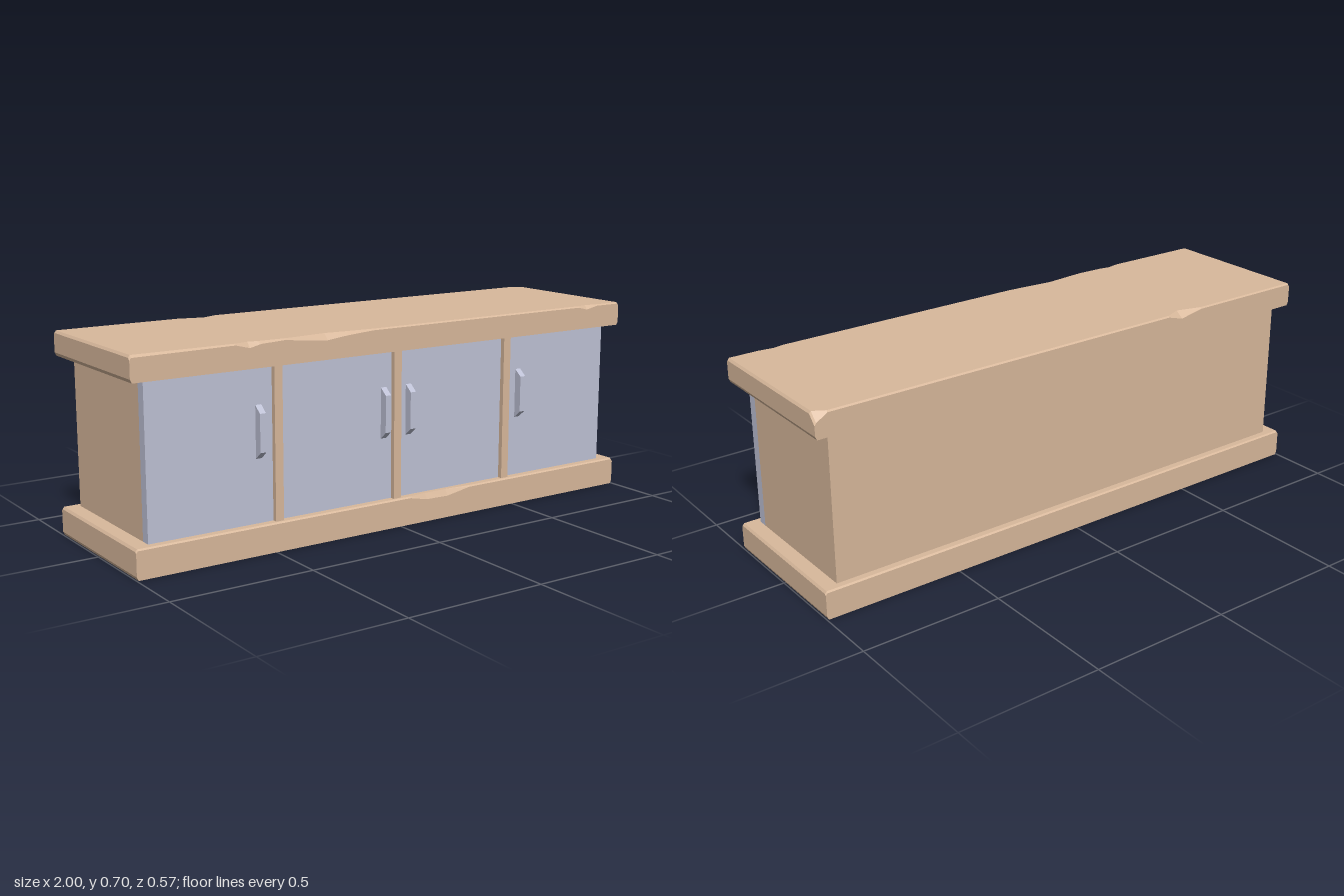
import * as THREE from 'three';

const wood = new THREE.MeshStandardMaterial({ color: 0xd9b99c });
wood.name = 'tan wood';
const paint = new THREE.MeshStandardMaterial({ color: 0xbfc2d6 });
paint.name = 'grey blue paint';

const HALF_DEPTH = 0.284;

// Slab lofted along x; each chip [x, front drop, front inset, back drop, back inset] widens the worn upper edge
function slabGeometry(y0, y1, chips) {
  const e = 0.005;
  const ring = ([x, fd = e, fi = e, bd = e, bi = e], lift = 0, sink = 0) => {
    const top = y1 - sink, bottom = y0 + lift, h = HALF_DEPTH;
    return [
      [x, top, -h + bi], [x, top, h - fi], [x, top - fd, h],
      [x, bottom, h], [x, bottom, -h], [x, top - bd, -h],
    ];
  };
  const first = chips[0], last = chips[chips.length - 1];
  const rings = [
    ring([-1, ...first.slice(1)], 0.012, 0.008),
    ...chips.map((c) => ring(c)),
    ring([1, ...last.slice(1)], 0.012, 0.008),
  ];
  const pos = [];
  const tri = (...corners) => corners.forEach((p) => pos.push(...p));
  for (let i = 0; i < rings.length - 1; i++) {
    for (let j = 0; j < 6; j++) {
      const k = (j + 1) % 6;
      const a = rings[i][j], b = rings[i][k], c = rings[i + 1][k], d = rings[i + 1][j];
      tri(a, b, c);
      tri(a, c, d);
    }
  }
  // End caps
  const start = rings[0], end = rings[rings.length - 1];
  for (let j = 1; j < 5; j++) {
    tri(start[0], start[j + 1], start[j]);
    tri(end[0], end[j], end[j + 1]);
  }
  const g = new THREE.BufferGeometry();
  g.setAttribute('position', new THREE.Float32BufferAttribute(pos, 3));
  g.computeVertexNormals();
  return g;
}

export function createModel() {
  const group = new THREE.Group();
  const add = (name, geometry, material) => {
    const mesh = new THREE.Mesh(geometry, material);
    mesh.name = name;
    group.add(mesh);
    return mesh;
  };
  const box = (name, x0, x1, y0, y1, z0, z1, material) =>
    add(name, new THREE.BoxGeometry(x1 - x0, y1 - y0, z1 - z0), material)
      .position.set((x0 + x1) / 2, (y0 + y1) / 2, (z0 + z1) / 2);

  // Plinth with one shallow chip in its front edge
  add('plinth', slabGeometry(0, 0.1, [
    [-0.994], [0.04], [0.11, 0.02, 0.012], [0.2, 0.022, 0.012], [0.3], [0.994],
  ]), wood);

  // Worktop with chips along the front and back edges and at one rear corner
  add('worktop', slabGeometry(0.615, 0.7, [
    [-0.994, 0.008, 0.008], [-0.64], [-0.59, 0.018, 0.015], [-0.56, 0.012, 0.009],
    [-0.55, 0.009, 0.008], [-0.46, 0.005, 0.005, 0.022, 0.029],
    [-0.4, 0.012, 0.01], [-0.3, 0.021, 0.02], [-0.22, 0.012, 0.012], [-0.12],
    [0.8], [0.84, 0.015, 0.012], [0.89], [0.955],
    [0.994, 0.005, 0.005, 0.03, 0.028],
  ]), wood);

  // Cabinet body
  box('body', -0.945, 0.945, 0.09, 0.625, -0.257, 0.22, wood);

  // Doors between the upright dividers
  const dividers = [-0.48, -0.009, 0.471];
  const edges = [-0.945, ...dividers, 0.945];
  for (let i = 0; i < 4; i++) {
    box('door', edges[i], edges[i + 1], 0.098, 0.618, 0.22, 0.255, paint);
  }
  for (const x of dividers) {
    box('divider', x - 0.015, x + 0.015, 0.098, 0.618, 0.21, 0.272, wood);
  }

  // Tapered handles, profile drawn in depth and height
  const profile = new THREE.Shape([
    [0.25, 0.311], [0.284, 0.34], [0.284, 0.468], [0.25, 0.496],
  ].map(([z, y]) => new THREE.Vector2(z, y)));
  const handle = new THREE.ExtrudeGeometry(profile, { depth: 0.022, bevelEnabled: false });
  handle.translate(0, 0, -0.011);
  handle.rotateY(-Math.PI / 2);
  for (const x of [-0.546, -0.057, 0.047, 0.537]) {
    add('handle', handle, paint).position.x = x;
  }
  return group;
}
